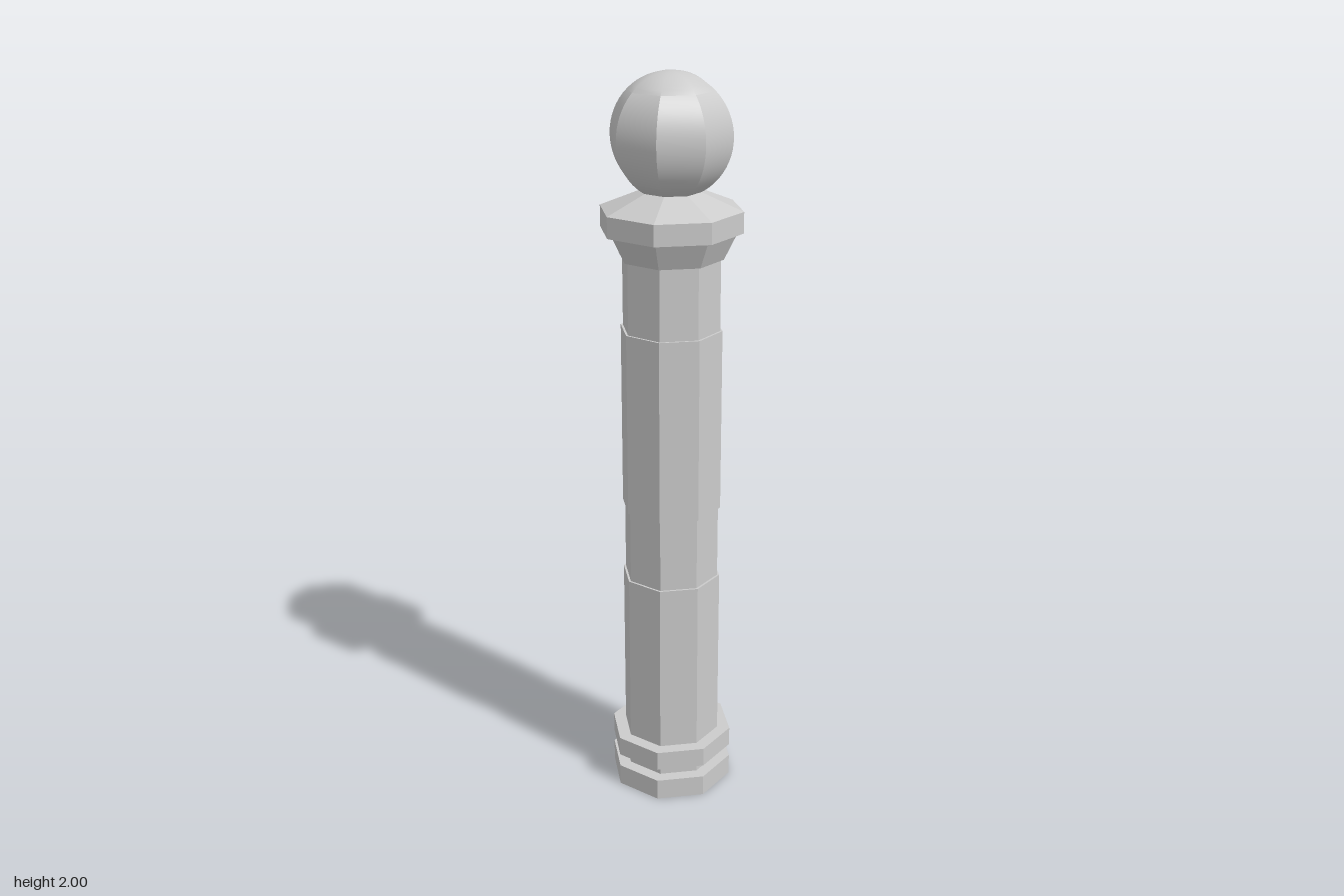
import * as THREE from 'three';
import { toCreasedNormals } from 'three/addons/utils/BufferGeometryUtils.js';

const SIDES = 8;

export function createModel() {
  const post = new THREE.Group();
  post.name = 'bollard';
  const flat = new THREE.MeshStandardMaterial({ color: 0xcccccc, flatShading: true });
  const smooth = new THREE.MeshStandardMaterial({ color: 0xcccccc });

  // Octagonal drum from y0 to y1, corners on the x and z axes
  function drum(name, y0, y1, rBottom, rTop = rBottom) {
    const mesh = new THREE.Mesh(new THREE.CylinderGeometry(rTop, rBottom, y1 - y0, SIDES), flat);
    mesh.position.y = (y0 + y1) / 2;
    mesh.name = name;
    post.add(mesh);
  }

  // Base: two plinth rings with a recessed gap
  drum('basePlinth', 0, 0.06, 0.172);
  drum('baseGap', 0.06, 0.097, 0.137);
  drum('baseRing', 0.097, 0.152, 0.172);

  // Shaft with two slightly inset bands
  drum('lowerShaft', 0.152, 0.642, 0.136);
  drum('middleBand', 0.642, 0.846, 0.13);
  drum('upperShaft', 0.846, 1.346, 0.136);
  drum('upperBand', 1.346, 1.535, 0.13);

  // Flared capital, collar and sloped top
  drum('capitalFlare', 1.535, 1.605, 0.137, 0.171);
  drum('collar', 1.605, 1.66, 0.187);
  drum('collarSlope', 1.66, 1.708, 0.187, 0.07);

  // Eight-gored ball: creased at the equator, smooth towards the poles
  const ball = new THREE.Mesh(
    toCreasedNormals(new THREE.SphereGeometry(0.158, SIDES, 32), Math.PI / 5.6), smooth);
  ball.position.y = 1.842;
  ball.name = 'ballFinial';
  post.add(ball);

  return post;
}
